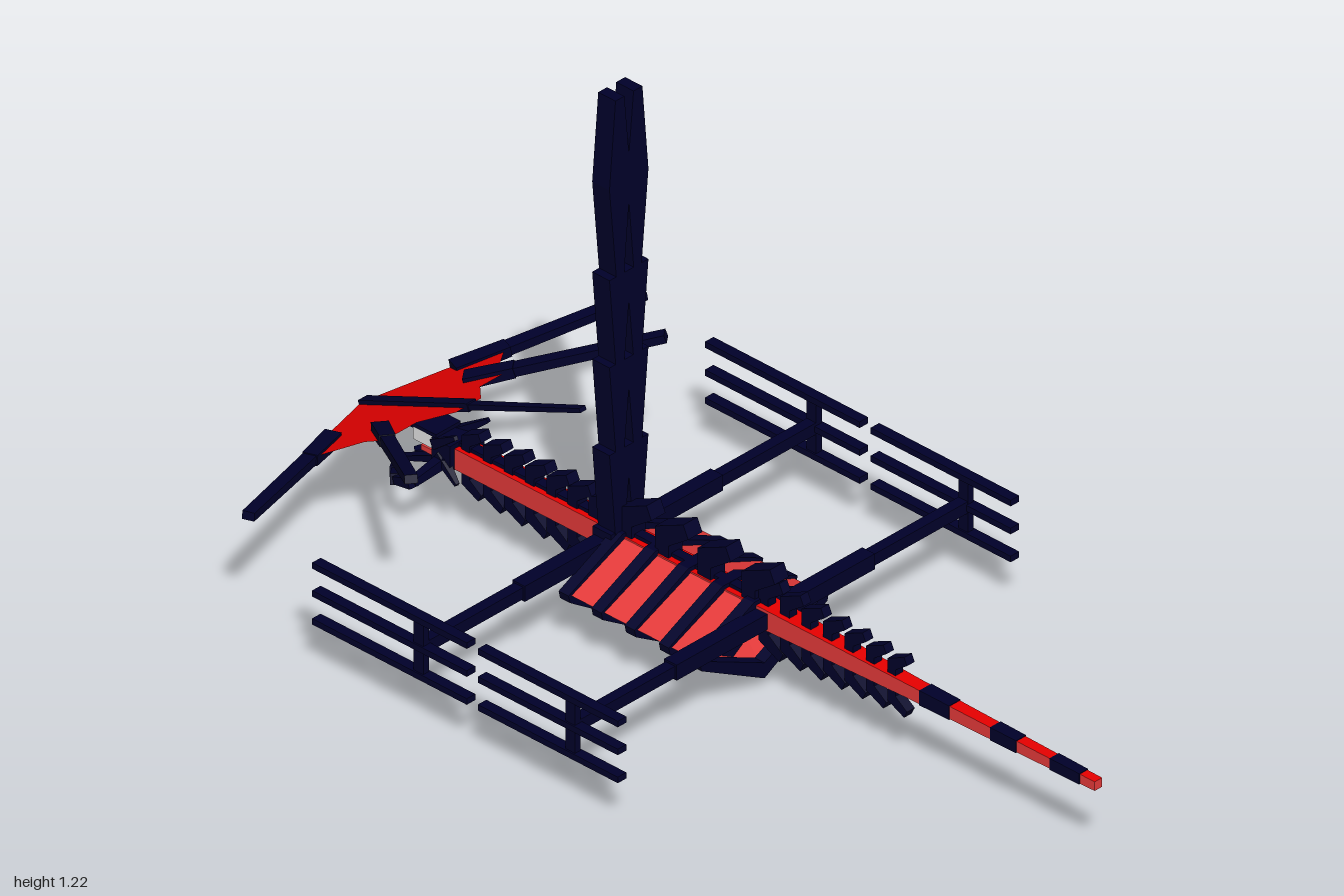
import * as THREE from 'three';

const V = (x, y, z) => new THREE.Vector3(x, y, z);

export function createModel() {
  const model = new THREE.Group();
  model.name = 'ribbedCraft';
  const mat = (name, color, side = THREE.FrontSide) => {
    const m = new THREE.MeshStandardMaterial({ color, flatShading: true, side });
    m.name = name;
    return m;
  };
  const navy = mat('navy', 0x00002a);
  const red = mat('softRed', 0xe63a3a, THREE.DoubleSide);
  const bright = mat('brightRed', 0xe80000, THREE.DoubleSide);
  const white = mat('paleGrey', 0xe6e6e6);

  const add = (name, geo, material) => {
    const m = new THREE.Mesh(geo, material);
    m.name = name;
    model.add(m);
    return m;
  };
  const box = (name, w, h, d, x, y, z, material = navy) => {
    const m = add(name, new THREE.BoxGeometry(w, h, d), material);
    m.position.set(x, y, z);
    return m;
  };
  // Straight bar between two points, tapering to its far end
  const bar = (name, a, b, w, h, taper = 1, material = navy) => {
    const geo = new THREE.BoxGeometry(w, h, a.distanceTo(b));
    const p = geo.attributes.position;
    for (let i = 0; i < p.count; i++) {
      if (p.getZ(i) > 0) p.setXY(i, p.getX(i) * taper, p.getY(i) * taper);
    }
    geo.computeVertexNormals();
    const m = add(name, geo, material);
    m.position.copy(a).add(b).multiplyScalar(0.5);
    m.lookAt(b);
    return m;
  };
  const shapeOf = pts => new THREE.Shape(pts.map(p => new THREE.Vector2(...p)));
  const extrude = (shape, depth) => {
    const g = new THREE.ExtrudeGeometry(shape, { depth, bevelEnabled: false });
    return g.translate(0, 0, -depth / 2);
  };

  // Square central beam with a brighter top, tapering to the front tip
  const half = z => z > 0.5 ? 0.016 - (z - 0.5) * 0.011
    : z > 0.1 ? 0.022 - (z - 0.1) * 0.015 : 0.024;
  const beam = (name, z0, z1, grow, material) => {
    const r0 = half(z0) + grow, r1 = half(z1) + grow;
    bar(name, V(0, 0.18, z0), V(0, 0.18, z1), 2 * r0, 2 * r0, r1 / r0, material);
  };
  const beamSkin = [red, red, bright, red, red, red];
  beam('beamRear', -0.76, 0.1, 0, beamSkin);
  beam('beamFront', 0.1, 0.5, 0, beamSkin);
  beam('beamTip', 0.5, 1, 0, beamSkin);
  [[0.53, 0.61], [0.72, 0.79], [0.88, 0.96]].forEach(([a, b]) => beam('tipBand', a, b, 0.0015, navy));
  box('ridge', 0.022, 0.012, 0.85, 0, 0.206, -0.33);

  // Hooked spines along the top and bottom, leaning forward
  const spine = (z, s, w, down) => {
    const base = half(z) - 0.005;
    const geo = extrude(shapeOf([
      [-0.013 * s, base], [0.011 * s, base], [0.011 * s, base + 0.022 * s],
      [0.047 * s, base + 0.048 * s], [0.038 * s, base + 0.067 * s], [-0.013 * s, base + 0.043 * s],
    ]), w);
    geo.rotateY(-Math.PI / 2);
    const m = add(down ? 'lowerSpine' : 'upperSpine', geo, navy);
    m.position.set(0, 0.18, z);
    if (down) m.scale.y = -1;
  };
  for (let i = 0; i < 7; i++) {
    const zf = 0.45 - i * 0.058, zr = -0.355 - i * 0.058;
    for (const down of [false, true]) {
      spine(zf, 0.87 + i * 0.04, 0.022, down);
      spine(zr, 1.12 - i * 0.04, 0.03, down);
    }
  }
  [0.07, -0.05, -0.165, -0.265].forEach(z => spine(z, 1.5, 0.04, false));

  // Open-ended hull skin
  const keel = z => 0.04 + (z - 0.09) * 0.06;
  const section = z => [[-0.018, 0.203], [-0.174, 0.137], [0, keel(z)], [0.174, 0.137], [0.018, 0.203]];
  const A = section(0.09), B = section(-0.275), verts = [];
  for (let i = 0; i < 4; i++) {
    const a = [...A[i], 0.09], b = [...A[i + 1], 0.09], c = [...B[i + 1], -0.275], d = [...B[i], -0.275];
    verts.push(...a, ...c, ...b, ...a, ...d, ...c);
  }
  const skin = new THREE.BufferGeometry();
  skin.setAttribute('position', new THREE.Float32BufferAttribute(verts, 3));
  skin.computeVertexNormals();
  add('hullSkin', skin, red);

  // Hull frames
  [0.08, -0.005, -0.098, -0.188, -0.277].forEach(z => {
    const k = keel(z);
    const s = shapeOf([[-0.03, 0.213], [-0.182, 0.14], [-0.178, 0.122], [0, k - 0.016],
      [0.178, 0.122], [0.182, 0.14], [0.03, 0.213]]);
    s.holes.push(new THREE.Path([[-0.025, 0.192], [0.025, 0.192], [0.155, 0.134], [0, k + 0.02], [-0.155, 0.134]]
      .map(p => new THREE.Vector2(...p))));
    add('hullFrame', extrude(s, 0.027), navy).position.z = z;
  });
  box('hullCore', 0.05, 0.045, 0.12, 0, 0.108, -0.15, white);
  box('hullCoreStrap', 0.02, 0.07, 0.13, 0, 0.12, -0.15);

  // Twin mast built from stacked tapered blades
  for (const s of [1, -1]) {
    const blades = [0.81, 0.607, 0.403].map(t =>
      [[0, t], [0, t - 0.07], [0.014, t - 0.22], [0.036, t - 0.22], [0.055, t]]);
    blades.push([[0.015, 0.79], [0.034, 0.79], [0.055, 1.02], [0.038, 1.22], [0.013, 1.22], [0, 1.08], [0, 0.97]]);
    blades.forEach(pts => {
      const g = extrude(shapeOf(pts.map(([x, y]) => [x * s, y])), 0.047);
      add('mastBlade', g, navy).position.z = -0.298;
    });
  }
  box('mastFoot', 0.1, 0.1, 0.05, 0, 0.165, -0.3);

  // Cross arms with three rails at each end
  for (const [z, z0, z1] of [[0.107, -0.14, 0.24], [-0.305, -0.59, -0.17]]) {
    box('armInner', 0.56, 0.036, 0.034, 0, 0.179, z);
    box('armOuter', 1.11, 0.027, 0.025, 0, 0.179, z);
    for (const x of [-0.555, 0.555]) {
      box('railPost', 0.016, 0.14, 0.026, x, 0.179, z);
      for (const y of [0.114, 0.179, 0.244]) box('rail', 0.024, 0.014, z1 - z0, x, y, (z0 + z1) / 2);
    }
  }

  // Sloping rear fan with its struts
  const fanY = z => 0.18 + (z + 1) * 0.417;
  const onFan = (x, z, lift = 0) => V(x, fanY(z) + lift, z);
  const side = [[0.17, -0.935], [0.265, -0.868], [0.19, -0.81], [0.18, -0.765], [0.09, -0.765], [0.035, -0.71]];
  const outline = [[0, -1], ...side, ...side.slice().reverse().map(([x, z]) => [-x, z])];
  const fan = new THREE.ShapeGeometry(shapeOf(outline));
  const fp = fan.attributes.position;
  for (let i = 0; i < fp.count; i++) {
    const z = fp.getY(i);
    fp.setXYZ(i, fp.getX(i), fanY(z), z);
  }
  fan.computeVertexNormals();
  add('fanMembrane', fan, bright);
  bar('fanCentreStrut', onFan(0, -0.995), onFan(0, -0.7), 0.026, 0.018);
  bar('fanCentreTip', onFan(0, -0.72), onFan(0, -0.4), 0.022, 0.012, 0.8);
  for (const s of [1, -1]) {
    bar('fanOuterRoot', onFan(s * 0.17, -0.915), onFan(s * 0.28, -0.872), 0.036, 0.026, 0.9);
    bar('fanOuterStrut', onFan(s * 0.25, -0.884), onFan(s * 0.56, -0.77), 0.029, 0.02, 0.9);
    bar('fanInnerRoot', onFan(s * 0.12, -0.835), onFan(s * 0.18, -0.757), 0.036, 0.026, 0.9);
    bar('fanInnerStrut', onFan(s * 0.165, -0.777), onFan(s * 0.36, -0.52), 0.029, 0.02, 0.9);
  }

  // Head: dark cap and collar around a pale skull, with a red gum
  box('headCollar', 0.075, 0.06, 0.05, 0, 0.185, -0.75);
  box('skull', 0.062, 0.032, 0.056, 0, 0.2, -0.803, white);
  box('skullCap', 0.07, 0.008, 0.07, 0, 0.22, -0.8);
  box('brow', 0.03, 0.02, 0.02, 0, 0.2, -0.836);
  box('gum', 0.03, 0.012, 0.05, 0, 0.16, -0.8, red);
  bar('lowerJaw', V(0, 0.16, -0.76), V(0, 0.1, -0.895), 0.03, 0.016, 0.6);
  bar('fanStem', V(0, 0.2, -0.83), V(0, 0.185, -0.99), 0.02, 0.014);
  for (const s of [1, -1]) {
    bar('crestSpike', V(s * 0.03, 0.2, -0.77), V(s * 0.046, 0.25, -0.7), 0.022, 0.022, 0.4);
    bar('cheekSpike', V(s * 0.03, 0.18, -0.76), V(s * 0.043, 0.14, -0.7), 0.022, 0.022, 0.4);
    const joints = [V(s * 0.03, 0.17, -0.75), V(s * 0.095, 0.14, -0.77), V(s * 0.09, 0.122, -0.82),
      V(s * 0.06, 0.112, -0.85), V(s * 0.025, 0.105, -0.88)];
    for (let i = 0; i < 4; i++) bar('pincerJoint', joints[i], joints[i + 1], 0.024, 0.024, 0.7);
  }
  return model;
}
